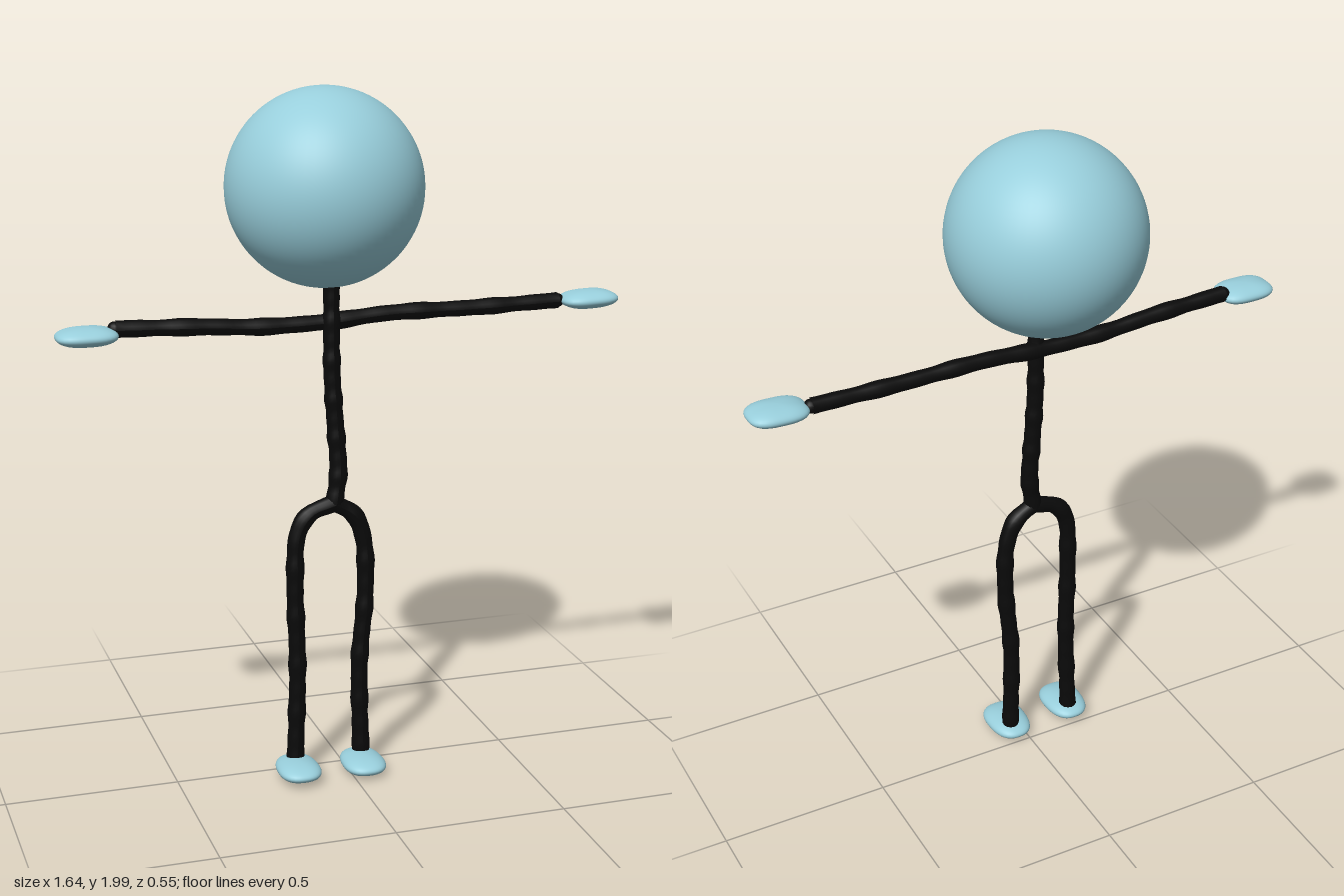
import * as THREE from 'three';

const skin = new THREE.MeshStandardMaterial({ color: 0x98cedb });
skin.name = 'pale blue';
const ink = new THREE.MeshStandardMaterial({ color: 0x0a0a0a });
ink.name = 'black';

// Hand-drawn limb: a tube with a slightly wobbling radius and rounded ends
function limb(name, points, r0, r1, seed) {
  const group = new THREE.Group();
  group.name = name;
  const path = new THREE.CatmullRomCurve3(points.map(p => new THREE.Vector3(...p)));
  const rings = 60, sides = 14;
  const geo = new THREE.TubeGeometry(path, rings, 1, sides);
  const pos = geo.attributes.position;
  const v = new THREE.Vector3();
  for (let i = 0; i <= rings; i++) {
    const t = i / rings;
    const c = path.getPointAt(t);
    const wobble = 1 + 0.05 * Math.sin(t * 37 + seed) + 0.04 * Math.sin(t * 71 + seed * 2);
    const r = THREE.MathUtils.lerp(r0, r1, t) * wobble;
    for (let j = 0; j <= sides; j++) {
      const k = i * (sides + 1) + j;
      v.fromBufferAttribute(pos, k).sub(c).multiplyScalar(r).add(c);
      pos.setXYZ(k, v.x, v.y, v.z);
    }
  }
  geo.computeVertexNormals();
  const tube = new THREE.Mesh(geo, ink);
  tube.name = name + 'Tube';
  group.add(tube);
  [[0, r0], [1, r1]].forEach(([t, r]) => {
    const cap = new THREE.Mesh(new THREE.SphereGeometry(r, 14, 10), ink);
    cap.name = name + 'End';
    cap.scale.setScalar(0.9);
    cap.position.copy(path.getPointAt(t));
    group.add(cap);
  });
  return group;
}

// Flat pebble with a squarish outline; taper widens it towards +z
function pebble(name, center, half, power, taper = 0, tilt = 0) {
  const geo = new THREE.SphereGeometry(1, 40, 24);
  const pos = geo.attributes.position;
  for (let i = 0; i < pos.count; i++) {
    const x = pos.getX(i), y = pos.getY(i), z = pos.getZ(i);
    const round = Math.hypot(x, z);
    const square = (Math.abs(x) ** power + Math.abs(z) ** power) ** (1 / power);
    const s = square > 1e-6 ? round / square : 1;
    pos.setXYZ(i, x * s * half[0] * (1 + taper * z), y * half[1], z * s * half[2]);
  }
  geo.computeVertexNormals();
  const mesh = new THREE.Mesh(geo, skin);
  mesh.name = name;
  mesh.position.set(...center);
  mesh.rotation.z = tilt;
  return mesh;
}

export function createModel() {
  const model = new THREE.Group();
  model.name = 'stickFigure';

  // Head
  const head = new THREE.Mesh(new THREE.SphereGeometry(0.277, 64, 48), skin);
  head.name = 'head';
  head.position.set(-0.05, 1.723, 0);
  model.add(head);

  // Spine and both arms
  model.add(limb('spine', [
    [-0.047, 1.47, 0.053], [-0.047, 1.34, 0.053], [-0.045, 1.2, 0.053],
    [-0.036, 1.06, 0.053], [-0.028, 0.92, 0.055], [-0.04, 0.83, 0.056],
  ], 0.023, 0.026, 1));
  model.add(limb('arms', [
    [-0.655, 1.374, 0.049], [-0.42, 1.364, 0.046], [-0.25, 1.352, 0.042],
    [-0.05, 1.353, 0.038], [0.12, 1.365, 0.034], [0.38, 1.364, 0.03],
    [0.64, 1.368, 0.026],
  ], 0.0235, 0.0225, 2));

  // Legs, bowed out from the hip
  model.add(limb('rightLeg', [
    [-0.04, 0.83, 0.056], [-0.115, 0.802, 0.056], [-0.148, 0.75, 0.056],
    [-0.157, 0.6, 0.055], [-0.15, 0.34, 0.05], [-0.156, 0.05, 0.043],
  ], 0.025, 0.025, 3));
  model.add(limb('leftLeg', [
    [-0.04, 0.83, 0.056], [0.018, 0.79, 0.056], [0.047, 0.715, 0.056],
    [0.053, 0.55, 0.055], [0.038, 0.34, 0.05], [0.045, 0.05, 0.043],
  ], 0.025, 0.025, 4));

  // Hands
  model.add(pebble('rightHand', [-0.735, 1.362, 0.062], [0.085, 0.027, 0.063], 3));
  model.add(pebble('leftHand', [0.732, 1.37, 0.037], [0.085, 0.027, 0.063], 3, 0, 0.03));

  // Feet
  model.add(pebble('rightFoot', [-0.159, 0.039, 0.08], [0.062, 0.027, 0.087], 2.5, 0.06));
  model.add(pebble('leftFoot', [0.038, 0.034, 0.08], [0.062, 0.027, 0.087], 2.5, 0.06));

  return model;
}
